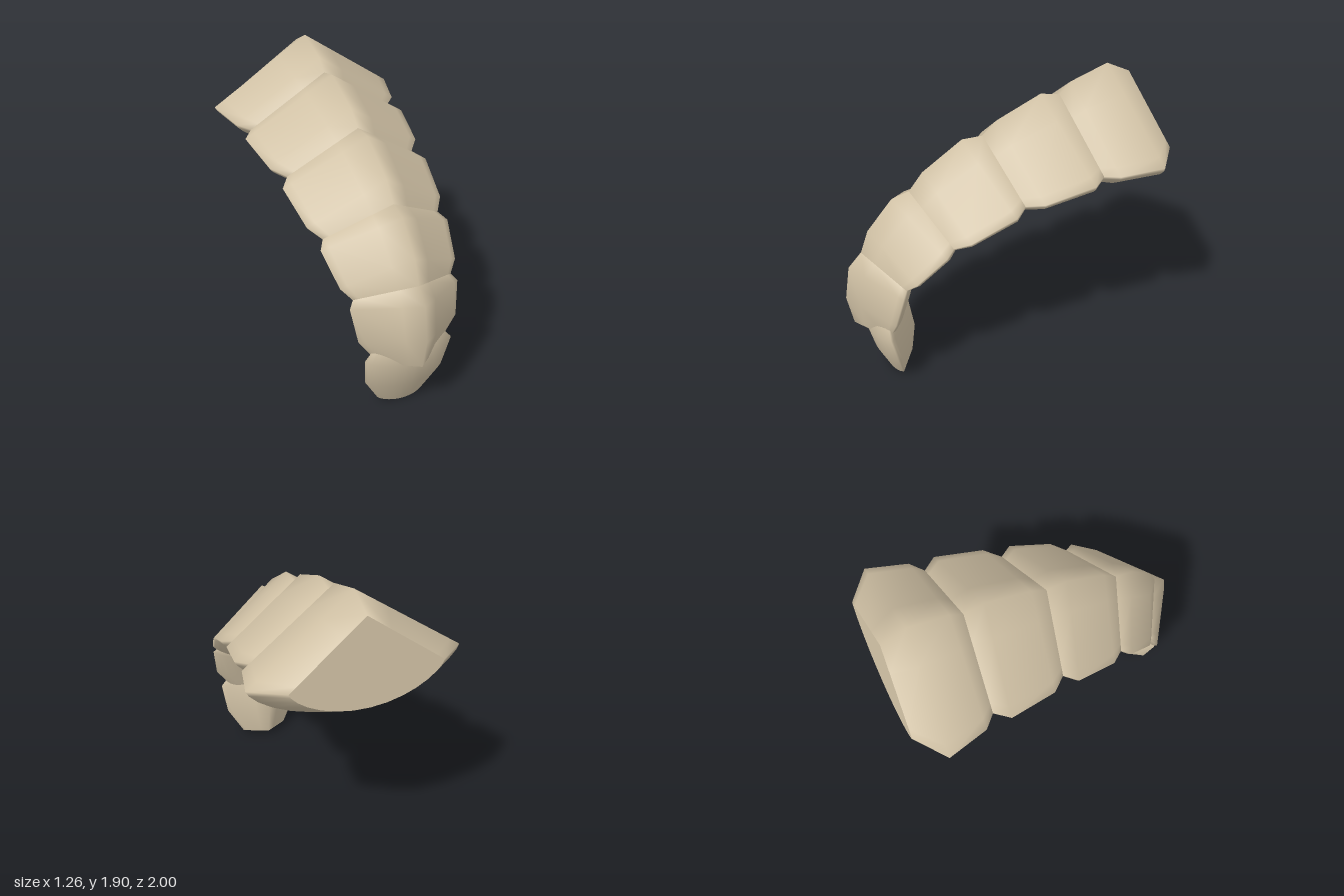
import * as THREE from 'three';

// Cross-section outline: x as a fraction of half width, h from 1 (ridge) to 0 (belly).
// Straight roof down to the corners, rounded belly below them.
const CORNER = 0.35;
function outline() {
  const half = [];
  for (const s of [0.3, 0.9]) half.push([s, 1 - s * (1 - CORNER)]);
  for (let i = 0; i <= 6; i++) {
    const a = (i / 7) * Math.PI / 2;
    half.push([Math.cos(a), CORNER * (1 - Math.pow(Math.sin(a), 1.4))]);
  }
  const left = half.map(([x, h]) => [-x, h]);
  return [[0, 1], ...left, [0, 0], ...half.reverse()];
}
const OUTLINE = outline();

// One ring: [ridge z, ridge y, belly z, belly y, half width]
function ringPoints([rz, ry, bz, by, w]) {
  return OUTLINE.map(([x, h]) => [x * w, by + (ry - by) * h, bz + (rz - bz) * h]);
}

// Skin a list of rings, with optional flat caps at either end
function shell(rings, capStart, capEnd) {
  const pos = [], index = [], n = OUTLINE.length;
  rings.forEach(r => pos.push(...ringPoints(r).flat()));
  for (let i = 0; i < rings.length - 1; i++) {
    for (let j = 0; j < n; j++) {
      const a = i * n + j, b = i * n + (j + 1) % n;
      index.push(a, b, a + n, b, b + n, a + n);
    }
  }
  const cap = (ring, flip) => {
    const base = pos.length / 3;
    pos.push(...ringPoints(ring).flat());
    for (let j = 1; j < n - 1; j++) {
      if (flip) index.push(base, base + j + 1, base + j);
      else index.push(base, base + j, base + j + 1);
    }
  };
  if (capStart) cap(rings[0], true);
  if (capEnd) cap(rings[rings.length - 1], false);
  const geo = new THREE.BufferGeometry();
  geo.setAttribute('position', new THREE.Float32BufferAttribute(pos, 3));
  geo.setIndex(index);
  geo.computeVertexNormals();
  return geo;
}

export function createModel() {
  const group = new THREE.Group();
  group.name = 'segmentedTail';
  const tan = new THREE.MeshStandardMaterial({ color: 0xcfc0a4 });
  tan.name = 'tan';

  // Body rings from the wide rear to the tip; every third ring is a shared waist
  const rings = [
    [-0.914, 1.824, -1.0, 1.315, 0.45],
    [-0.754, 1.9, -0.866, 1.235, 0.63],
    [-0.513, 1.818, -0.61, 1.22, 0.565],
    [-0.438, 1.743, -0.54, 1.23, 0.49],
    [-0.31, 1.77, -0.476, 1.19, 0.557],
    [-0.027, 1.647, -0.17, 1.128, 0.508],
    [0.07, 1.56, -0.08, 1.128, 0.43],
    [0.203, 1.56, -0.03, 1.08, 0.49],
    [0.46, 1.39, 0.246, 0.963, 0.45],
    [0.55, 1.278, 0.33, 0.947, 0.385],
    [0.663, 1.246, 0.358, 0.909, 0.423],
    [0.824, 1.059, 0.545, 0.75, 0.382],
    [0.877, 0.914, 0.594, 0.733, 0.325],
    [0.963, 0.824, 0.594, 0.72, 0.357],
    [1.0, 0.6, 0.655, 0.52, 0.327],
    [0.963, 0.395, 0.7, 0.33, 0.19],
  ];
  for (let s = 0; s < 5; s++) {
    const mesh = new THREE.Mesh(shell(rings.slice(s * 3, s * 3 + 4), s === 0, s === 4), tan);
    mesh.name = 'bodySegment' + (s + 1);
    group.add(mesh);
  }

  // Tip segment, with its ridge turned to the back, from the end upwards
  const tip = new THREE.Mesh(shell([
    [0.594, 0.043, 0.765, 0.0, 0.163],
    [0.567, 0.246, 0.845, 0.18, 0.268],
    [0.6, 0.46, 0.893, 0.375, 0.292],
    [0.658, 0.53, 0.86, 0.47, 0.22],
  ], true, true), tan);
  tip.name = 'tipSegment';
  group.add(tip);
  return group;
}
